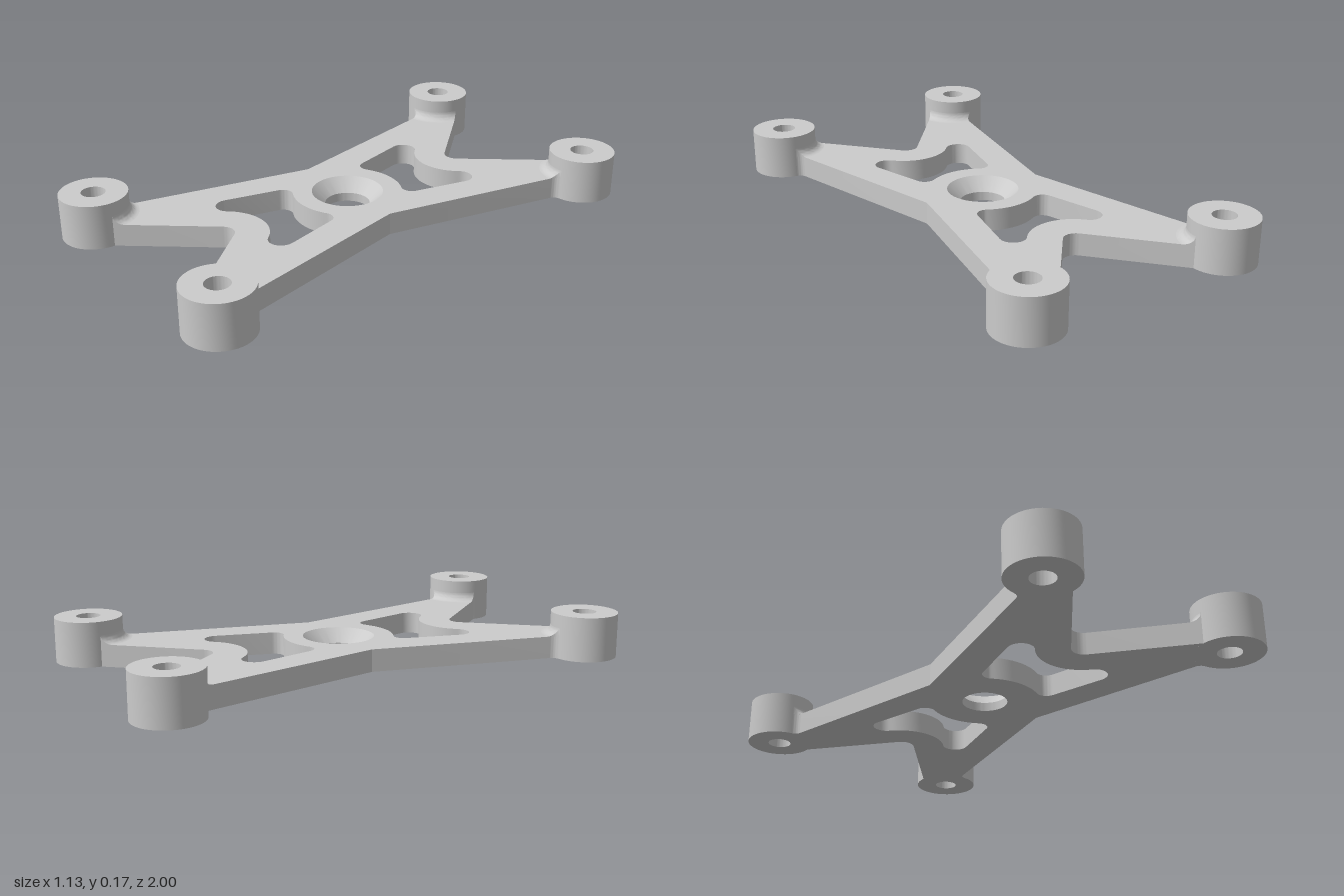
import * as THREE from 'three';
import { toCreasedNormals } from 'three/addons/utils/BufferGeometryUtils.js';

const PLATE_H = 0.087, BOSS_H = 0.175;
const BOSS = { x: 0.433, z: 0.87, r: 0.13, bore: 0.046 };
const FILLET = 0.035;           // rounding between plate top and boss
const CORNER = 0.03;            // rounding between outer arm edge and boss
const WAIST = 0.26;
const OUT_DIR = THREE.MathUtils.degToRad(77.5);  // heading of outer arm edge
const IN_DIR = THREE.MathUtils.degToRad(49.6);   // heading of inner arm edge
const NOTCH = { z: 0.585, r: 0.05 };

// Offsets of the two arm edges from the boss axis
const outOff = -((BOSS.x - WAIST) * Math.sin(OUT_DIR) - BOSS.z * Math.cos(OUT_DIR));
const inOff = (BOSS.x * Math.sin(IN_DIR) - (BOSS.z - NOTCH.z) * Math.cos(IN_DIR)) - NOTCH.r;

// Centre of the corner rounding, relative to the boss axis
const cornerDist = BOSS.r + CORNER;
const cornerAngle = OUT_DIR + Math.PI + Math.asin((outOff + CORNER) / cornerDist);
const tangentR = Math.hypot(outOff, Math.sqrt(cornerDist ** 2 - (outOff + CORNER) ** 2));

// Angles at which a circle of radius r round the boss crosses the arm edges
const innerAngle = r => IN_DIR + Math.PI - Math.asin(inOff / r);
const outerAngle = r => r < tangentR
  ? cornerAngle - Math.acos(Math.min(1, (r * r + cornerDist ** 2 - CORNER ** 2) / (2 * r * cornerDist)))
  : OUT_DIR + Math.PI + Math.asin(outOff / r);

function arc(cx, cy, r, a0, a1, n = 16) {
  return Array.from({ length: n + 1 }, (_, i) => {
    const a = a0 + (a1 - a0) * i / n;
    return new THREE.Vector2(cx + r * Math.cos(a), cy + r * Math.sin(a));
  });
}

const mirrorX = pts => pts.map(p => new THREE.Vector2(-p.x, p.y)).reverse();

// Outline of the X-shaped plate: one quarter, mirrored, then turned half round
function plateOutline() {
  const cx = BOSS.x + cornerDist * Math.cos(cornerAngle);
  const cy = BOSS.z + cornerDist * Math.sin(cornerAngle);
  const quarter = [
    new THREE.Vector2(WAIST, 0),
    ...arc(cx, cy, CORNER, OUT_DIR + Math.PI / 2, cornerAngle - Math.PI, 10),
    ...arc(BOSS.x, BOSS.z, BOSS.r, cornerAngle, innerAngle(BOSS.r), 20).slice(1),
    ...arc(0, NOTCH.z, NOTCH.r, IN_DIR - Math.PI / 2, -Math.PI / 2, 8),
  ];
  const half = [...quarter, ...mirrorX(quarter).slice(1)].slice(0, -1);
  return [...half, ...half.map(p => new THREE.Vector2(-p.x, -p.y))];
}

// Window between hub and notch, with four rounded lobes
function windowOutline() {
  const low = { x: 0.13, y: 0.22, r: 0.04 }, high = { x: 0.175, y: 0.44, r: 0.05 };
  const lowA = Math.atan2(low.y, low.x);
  const highA = Math.atan2(NOTCH.z - high.y, -high.x);
  const dx = high.x - low.x, dy = high.y - low.y;
  const side = Math.atan2(dy, dx) - Math.PI / 2 - Math.asin((high.r - low.r) / Math.hypot(dx, dy));
  const hubR = Math.hypot(low.x, low.y) - low.r;
  const topR = Math.hypot(high.x, NOTCH.z - high.y) - high.r;
  const right = [
    ...arc(0, 0, hubR, Math.PI / 2, lowA, 10),
    ...arc(low.x, low.y, low.r, lowA - Math.PI, side, 12).slice(1),
    ...arc(high.x, high.y, high.r, side, highA, 16),
    ...arc(0, NOTCH.z, topR, highA - Math.PI, -Math.PI / 2, 10).slice(1),
  ];
  return [...right, ...mirrorX(right).slice(1, -1)];
}

function lathe(points) {
  const g = new THREE.LatheGeometry(points.map(p => new THREE.Vector2(...p)), 64);
  return toCreasedNormals(g, 0.35);
}

// Concave ring sector blending the arm top into a boss, clipped to the arm
function filletGeometry(sx, sz) {
  const rows = 8, cols = 20, pos = [], idx = [], w = cols + 3;
  for (let i = 0; i <= rows; i++) {
    const t = i / rows * Math.PI / 2;
    const r = BOSS.r + FILLET * (1 - Math.cos(t));
    const y = PLATE_H + FILLET * (1 - Math.sin(t));
    const a0 = innerAngle(r), a1 = outerAngle(r);
    for (let j = 0; j < w; j++) {
      const k = THREE.MathUtils.clamp(j - 1, 0, cols) / cols;
      const a = a0 + (a1 - a0) * k;
      const edge = j === 0 || j === w - 1; // side walls drop to the plate
      pos.push(sx * (BOSS.x + r * Math.cos(a)), edge ? PLATE_H : y, sz * (BOSS.z + r * Math.sin(a)));
      if (i < rows && j < w - 1) {
        const p = i * w + j, q = p + w;
        if (sx * sz > 0) idx.push(p, p + 1, q, p + 1, q + 1, q);
        else idx.push(p, q, p + 1, p + 1, q, q + 1);
      }
    }
  }
  const g = new THREE.BufferGeometry();
  g.setAttribute('position', new THREE.Float32BufferAttribute(pos, 3));
  g.setIndex(idx);
  return toCreasedNormals(g, 0.5);
}

export function createModel() {
  const model = new THREE.Group();
  model.name = 'mountingBracket';
  const material = new THREE.MeshStandardMaterial({ color: 0xcccccc });
  const add = (name, geometry, x = 0, z = 0) => {
    const mesh = new THREE.Mesh(geometry, material);
    mesh.name = name;
    mesh.position.set(x, 0, z);
    model.add(mesh);
  };

  // Plate with two windows and an opening for the hub
  const shape = new THREE.Shape(plateOutline());
  const win = windowOutline();
  shape.holes.push(
    new THREE.Path(win),
    new THREE.Path(win.map(p => new THREE.Vector2(-p.x, -p.y))),
    new THREE.Path(arc(0, 0, 0.14, 0, Math.PI * 2, 64).slice(0, -1)),
  );
  const plate = new THREE.ExtrudeGeometry(shape, { depth: PLATE_H, bevelEnabled: false });
  plate.rotateX(-Math.PI / 2);
  add('plate', toCreasedNormals(plate, 0.35));

  // Countersunk centre hole
  add('countersunkHole', lathe([[0.14, PLATE_H], [0.088, 0.035], [0.088, 0], [0.14, 0]]));

  // Four bored bosses with their blends
  const { r, bore } = BOSS;
  const boss = lathe([[bore, 0], [r, 0], [r, BOSS_H], [bore, BOSS_H], [bore, 0]]);
  for (const sx of [1, -1]) for (const sz of [1, -1]) {
    const corner = (sz > 0 ? 'front' : 'back') + (sx > 0 ? 'Left' : 'Right');
    add(corner + 'Boss', boss, sx * BOSS.x, sz * BOSS.z);
    add(corner + 'Fillet', filletGeometry(sx, sz));
  }
  return model;
}
